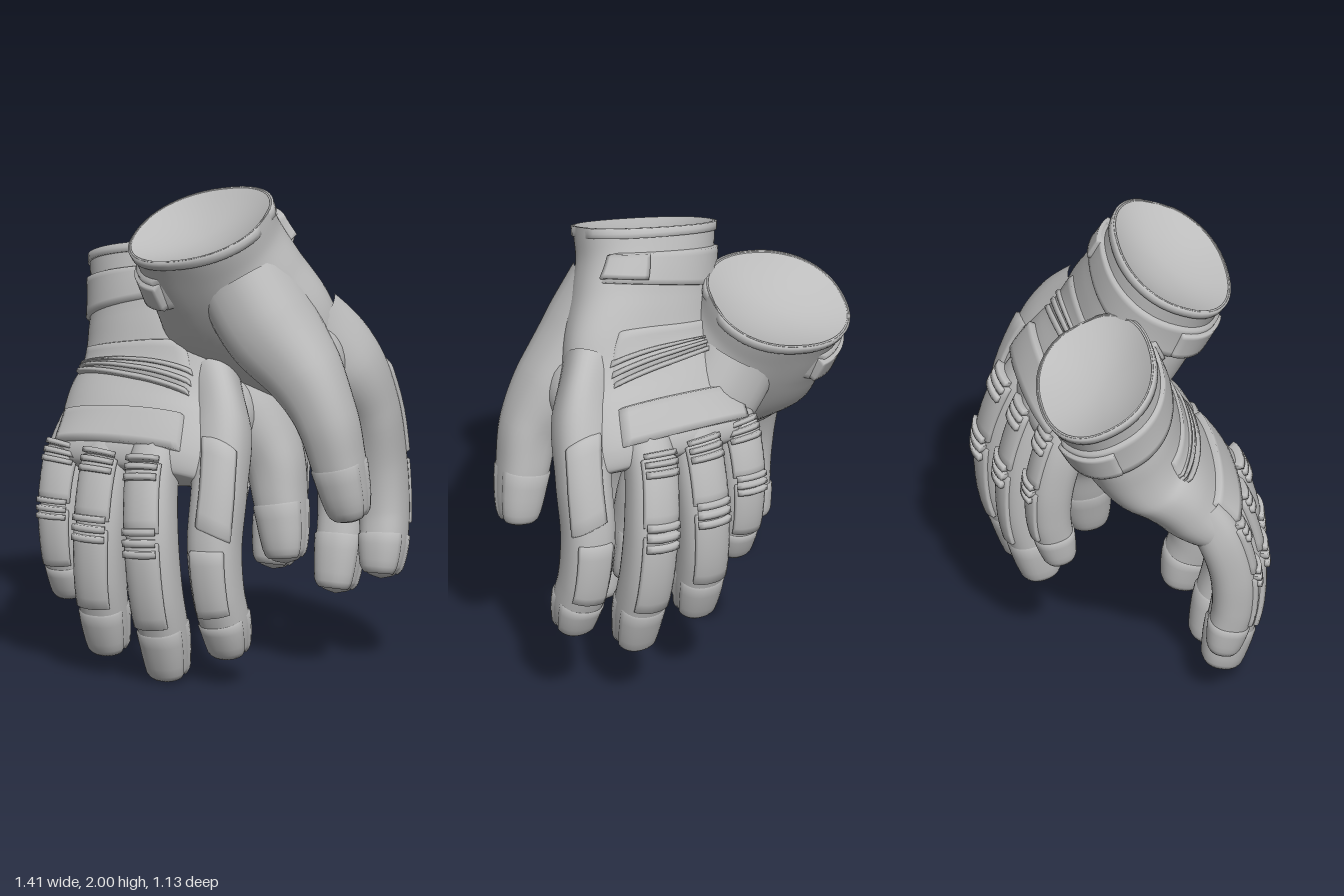
import * as THREE from 'three';
import { mergeVertices } from 'three/addons/utils/BufferGeometryUtils.js';

const V = (x, y, z) => new THREE.Vector3(x, y, z);
const DEG = Math.PI / 180;
const fabric = new THREE.MeshStandardMaterial({ color: 0xbcbcbc });
fabric.name = 'light grey fabric';

// Smooth surface from grid function fn(i, j)
function gridGeometry(fn, nu, nv) {
  const pos = [], idx = [];
  for (let j = 0; j <= nv; j++)
    for (let i = 0; i <= nu; i++) pos.push(...fn(i, j).toArray());
  for (let j = 0; j < nv; j++)
    for (let i = 0; i < nu; i++) {
      const a = j * (nu + 1) + i, c = a + nu + 1;
      idx.push(a, a + 1, c, a + 1, c + 1, c);
    }
  let g = new THREE.BufferGeometry();
  g.setAttribute('position', new THREE.Float32BufferAttribute(pos, 3));
  g.setIndex(idx);
  g = mergeVertices(g, 1e-5);
  g.computeVertexNormals();
  return g;
}

// Loft through rings [x, y, z, halfWidth, halfDepth]; t counts rings,
// angle 0 = thumb side, 90 = back of hand, 180 = little finger side, 270 = palm
function loft(rings, power) {
  const path = new THREE.CatmullRomCurve3(rings.map(r => V(r[0], r[1], r[2])));
  const size = new THREE.CatmullRomCurve3(rings.map(r => V(r[3], r[4], 0)), false, 'catmullrom', 0.4);
  const n = rings.length - 1;
  const pe = (c) => Math.sign(c) * Math.abs(c) ** (2 / power);
  const at = (t, deg) => {
    const k = Math.min(Math.max(t / n, 0), 1);
    const c = path.getPoint(k), s = size.getPoint(k), d = path.getTangent(k);
    const a = Math.atan2(d.z, -d.y), b = Math.atan2(d.x, -d.y), th = deg * DEG;
    c.addScaledVector(V(Math.cos(b), Math.sin(b), 0), Math.max(s.x, 0.002) * pe(Math.cos(th)));
    return c.addScaledVector(V(0, Math.sin(a), Math.cos(a)), Math.max(s.y, 0.002) * pe(Math.sin(th)));
  };
  const normal = (t, deg) => {
    const lo = Math.max(t - 0.05, 0), hi = Math.min(t + 0.05, n - 0.02);
    const dA = at(t, deg + 4).sub(at(t, deg - 4));
    return dA.cross(at(Math.max(hi, lo + 0.02), deg).sub(at(lo, deg))).normalize();
  };
  return { at, normal, n, path };
}

const skin = (L, nu) =>
  gridGeometry((i, j) => L.at(j / 7, (i % nu) / nu * 360), nu, L.n * 7);

// Raised plate hugging a loft; corners are [t, angle]: start top, end top, end bottom, start bottom
function plate(L, [p, q, r, s], h, nu = 14, nv = 8) {
  const f = (i, n) => (i === 0 ? 0 : i === n ? 1 : 0.04 + 0.92 * (i - 1) / (n - 2));
  const mix = THREE.MathUtils.lerp;
  return gridGeometry((i, j) => {
    const u = f(i, nu), v = f(j, nv);
    const t = mix(mix(p[0], q[0], u), mix(s[0], r[0], u), v);
    const a = mix(mix(p[1], q[1], u), mix(s[1], r[1], u), v);
    const edge = i === 0 || j === 0 || i === nu || j === nv;
    return L.at(t, a).addScaledVector(L.normal(t, a), edge ? -0.008 : h);
  }, nu, nv);
}
const band = (t0, t1, a0, a1) => [[t0, a0], [t0, a1], [t1, a1], [t1, a0]];

// Finger: path points [x, y, z, radius] ending in a rounded tip
function fingerLoft(points) {
  const rings = points.slice(0, -1).map(([x, y, z, r]) => [x, y, z, r, r * 1.03]);
  const last = points[points.length - 2], tip = V(...points[points.length - 1]);
  const dir = tip.clone().sub(V(last[0], last[1], last[2])).normalize();
  for (const [back, k] of [[0.05, 0.84], [0.014, 0.52], [0, 0.02]]) {
    const c = tip.clone().addScaledVector(dir, -back);
    rings.push([c.x, c.y, c.z, last[3] * k, last[3] * k]);
  }
  return loft(rings, 2.35);
}

const FINGERS = {
  littleFinger: [[-0.53, 1.0, 0.2, 0.09], [-0.555, 0.86, 0.28, 0.092], [-0.56, 0.68, 0.33, 0.088],
    [-0.555, 0.52, 0.335, 0.082], [-0.55, 0.41, 0.315, 0.075], [-0.55, 0.28, 0.285]],
  ringFinger: [[-0.34, 1.0, 0.25, 0.1], [-0.35, 0.86, 0.33, 0.1], [-0.35, 0.64, 0.39, 0.1],
    [-0.35, 0.42, 0.395, 0.097], [-0.35, 0.25, 0.36, 0.092], [-0.35, 0.08, 0.32]],
  middleFinger: [[-0.14, 1.0, 0.27, 0.105], [-0.13, 0.86, 0.36, 0.102], [-0.1, 0.62, 0.425, 0.102],
    [-0.08, 0.38, 0.42, 0.1], [-0.07, 0.2, 0.375, 0.095], [-0.07, 0.01, 0.33]],
  indexFinger: [[-0.05, 1.18, 0.03, 0.15], [0.07, 1.02, 0.16, 0.135], [0.125, 0.82, 0.27, 0.112],
    [0.135, 0.58, 0.33, 0.107], [0.155, 0.38, 0.33, 0.1], [0.17, 0.26, 0.3, 0.094], [0.175, 0.115, 0.265]],
};

// All parts of one glove as [name, geometry]
function gloveParts() {
  const parts = [];
  const add = (name, g) => parts.push([name, g]);

  // Hand and cuff
  const hand = loft([[-0.4, 1.62, -0.2, 0.3, 0.25], [-0.375, 1.5, -0.145, 0.295, 0.24],
    [-0.335, 1.36, -0.08, 0.32, 0.225], [-0.285, 1.18, 0.02, 0.365, 0.2], [-0.27, 1.02, 0.16, 0.375, 0.17],
    [-0.26, 0.9, 0.28, 0.37, 0.135], [-0.26, 0.84, 0.32, 0.33, 0.09], [-0.26, 0.825, 0.33, 0.1, 0.02]], 2.25);
  add('hand', skin(hand, 64));

  // Hollow of the cuff opening and its rolled rim
  const centre = hand.path.getPoint(0), axis = hand.path.getTangent(0);
  add('cuffLining', gridGeometry((i, j) => {
    const s = 1 - j / 8;
    return hand.at(0, -(i % 48) / 48 * 360).lerp(centre, 1 - s).addScaledVector(axis, 0.07 * (1 - s * s));
  }, 48, 8));
  add('cuffRim', plate(hand, band(0, 0.3, 0, 360), 0.008, 48, 4));

  // Wrist strap wrapping from palm to thumb side, with its end tab
  add('wristStrap', plate(hand, [[0.75, 38], [0.7, 250], [1.65, 255], [1.7, 28]], 0.016, 48, 8));
  add('strapTab', plate(hand, band(0.85, 1.6, 185, 248), 0.032));
  add('strapEnd', plate(hand, [[0.8, 36], [0.75, 75], [1.55, 75], [1.6, 30]], 0.03));

  // Back panel, flex creases and knuckle guard
  add('backPanel', plate(hand, [[2.7, 58], [2.35, 145], [3.15, 148], [3.7, 52]], 0.012));
  for (let k = 0; k < 3; k++) {
    const l = 2.75 + k * 0.2, r = 3.25 + k * 0.2;
    add('flexCrease', plate(hand, [[r, 54], [l, 146], [l + 0.12, 147], [r + 0.12, 52]], 0.022, 16, 4));
  }
  add('knuckleGuard', plate(hand, [[4.25, 52], [4.1, 146], [5.05, 150], [5.05, 48]], 0.025, 24, 8));

  // Fingers with long back pads, ridges and tip caps
  for (const [name, points] of Object.entries(FINGERS)) {
    const L = fingerLoft(points), index = name === 'indexFinger';
    const capStart = index ? 4.7 : 3.7;
    add(name, skin(L, 32));
    add(name + 'TipCap', plate(L, band(capStart, L.n - 1.3, 0, 360), 0.007, 32, 8));
    if (index) {
      add('indexSidePad', plate(L, [[1.5, 30], [1.25, 100], [2.7, 105], [2.9, 25]], 0.014));
      add('indexLowerPad', plate(L, band(3, 4.4, 40, 120), 0.012));
      continue;
    }
    add(name + 'Pad', plate(L, band(0.85, 1.95, 45, 135), 0.016));
    add(name + 'LowerPad', plate(L, band(2.05, 3.6, 45, 135), 0.014));
    for (const t of [0.75, 1.85])
      for (let k = 0; k < 3; k++)
        add(name + 'Ridge', plate(L, band(t + k * 0.16, t + 0.11 + k * 0.16, 55, 125), 0.032, 8, 4));
  }

  // Thumb rising out of the ball of the palm
  const thumb = fingerLoft([[-0.24, 1.4, -0.13, 0.19], [-0.12, 1.22, -0.13, 0.19], [0.04, 1.04, -0.13, 0.155],
    [0.15, 0.86, -0.14, 0.122], [0.19, 0.7, -0.125, 0.108], [0.215, 0.57, -0.11, 0.095], [0.235, 0.435, -0.09]]);
  add('thumb', skin(thumb, 32));
  add('thumbTipCap', plate(thumb, band(4.1, thumb.n - 1.3, 0, 360), 0.006, 32, 8));

  // Web between thumb and index finger
  const web = new THREE.SphereGeometry(1, 28, 18);
  web.scale(0.13, 0.17, 0.17).rotateX(-0.4).rotateZ(0.4).translate(0.0, 1.08, 0.0);
  add('thumbWeb', web);
  return parts;
}

// Mirror front to back, keeping faces outward
function mirrorZ(geometry) {
  const g = geometry.clone().scale(1, 1, -1), idx = g.index;
  for (let i = 0; i < idx.count; i += 3) {
    const b = idx.getX(i + 1);
    idx.setX(i + 1, idx.getX(i + 2));
    idx.setX(i + 2, b);
  }
  return g;
}

export function createModel() {
  const model = new THREE.Group();
  model.name = 'pairOfGloves';
  const right = new THREE.Group(), left = new THREE.Group();
  right.name = 'rightGlove';
  left.name = 'leftGlove';
  left.position.set(0.4, 0.26, 0);
  for (const [name, g] of gloveParts()) {
    for (const [group, geo] of [[right, g], [left, mirrorZ(g)]]) {
      const mesh = new THREE.Mesh(geo, fabric);
      mesh.name = name;
      group.add(mesh);
    }
  }
  model.add(right, left);
  return model;
}
